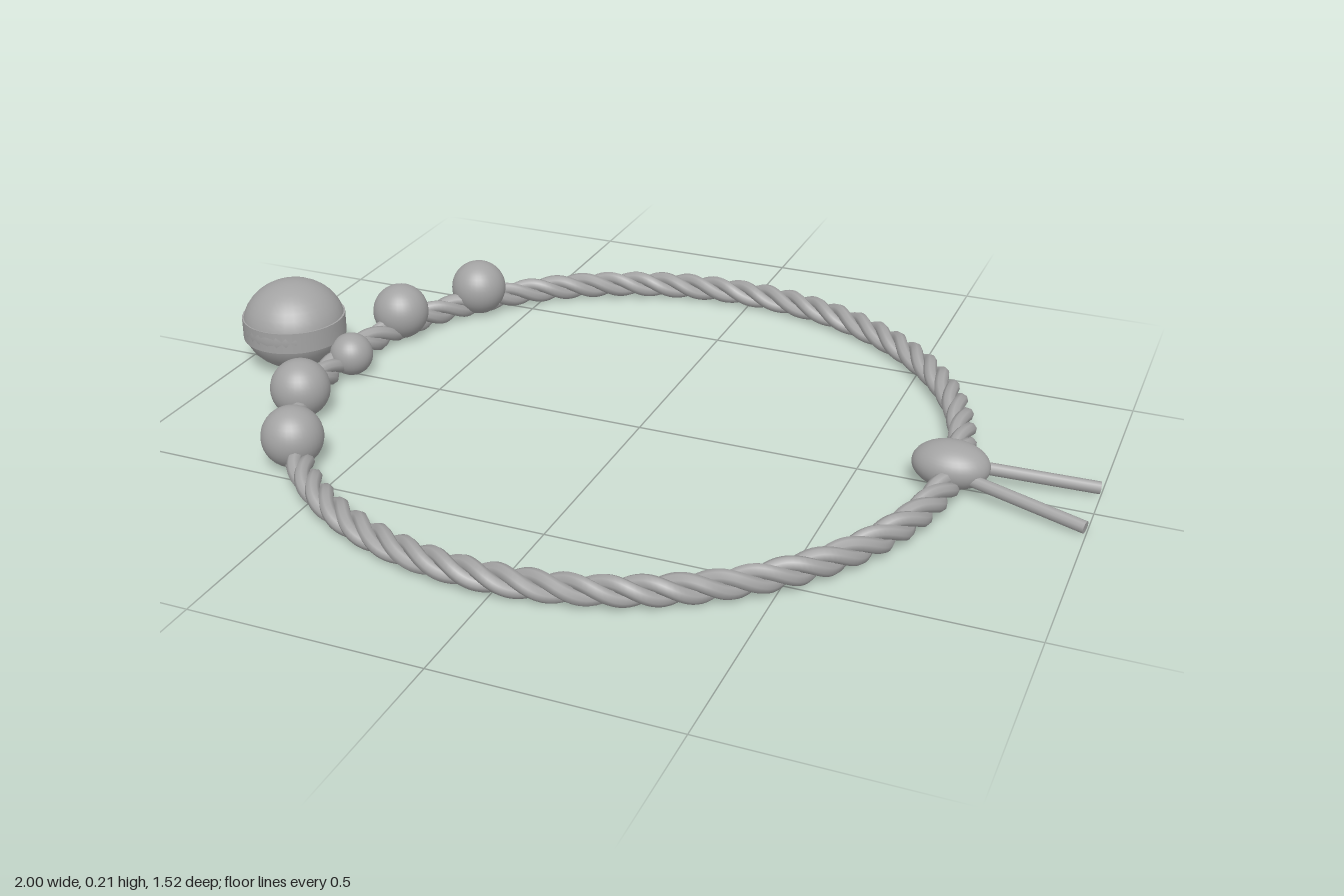
import * as THREE from 'three';

const RING_X = -0.025, RING_Y = 0.042, RING_R = 0.73;

// One strand of the rope: a helix wound round the bracelet circle
class StrandCurve extends THREE.Curve {
  constructor(phase, turns, offset) {
    super();
    Object.assign(this, { phase, turns, offset });
  }
  getPoint(t, target = new THREE.Vector3()) {
    const a = t * Math.PI * 2;
    const w = a * this.turns + this.phase;
    const r = RING_R + this.offset * Math.cos(w);
    return target.set(RING_X + r * Math.cos(a), RING_Y + this.offset * Math.sin(w), r * Math.sin(a));
  }
}

export function createModel() {
  const model = new THREE.Group();
  model.name = 'braceletModel';
  const grey = new THREE.MeshStandardMaterial({ color: 0xa3a3a3 });
  grey.name = 'grey';

  const add = (name, geometry, parent = model) => {
    const mesh = new THREE.Mesh(geometry, grey);
    mesh.name = name;
    parent.add(mesh);
    return mesh;
  };
  const ball = (name, x, y, z, rx, ry = rx, rz = rx) => {
    const mesh = add(name, new THREE.SphereGeometry(1, 32, 20));
    mesh.position.set(x, y, z);
    mesh.scale.set(rx, ry, rz);
    return mesh;
  };

  // Three twisted strands form the rope
  const rope = new THREE.Group();
  rope.name = 'rope';
  model.add(rope);
  for (let i = 0; i < 3; i++) {
    const curve = new StrandCurve((i * Math.PI * 2) / 3, 22, 0.0165);
    curve.arcLengthDivisions = 1200;
    add('strand', new THREE.TubeGeometry(curve, 528, 0.0155, 8, true), rope);
  }

  // Large charm bead with a slightly raised band round its middle
  ball('largeBead', -0.88, 0.115, 0, 0.119, 0.105, 0.121);
  const band = add('largeBeadBand', new THREE.CylinderGeometry(0.12, 0.12, 0.05, 40));
  band.position.set(-0.88, 0.113, 0);

  // Small centre bead and mirrored pairs of side beads
  ball('centreBead', -0.73, 0.06, 0, 0.05);
  for (const side of [-1, 1]) {
    ball('innerBead', -0.725, 0.077, side * 0.23, 0.067);
    ball('outerBead', -0.617, 0.077, side * 0.436, 0.067);
  }

  // Flattened knot and its two loose cord ends
  ball('knot', 0.7, 0.064, 0, 0.083, 0.05, 0.063);
  for (const side of [-1, 1]) {
    const start = new THREE.Vector3(0.7, 0.057, side * 0.02);
    const end = new THREE.Vector3(0.997, 0.025, side * 0.087);
    const dir = end.clone().sub(start);
    const tail = add('cordEnd', new THREE.CylinderGeometry(0.0135, 0.0135, dir.length(), 10));
    tail.position.copy(start).add(end).multiplyScalar(0.5);
    tail.quaternion.setFromUnitVectors(new THREE.Vector3(0, 1, 0), dir.normalize());
  }
  return model;
}
